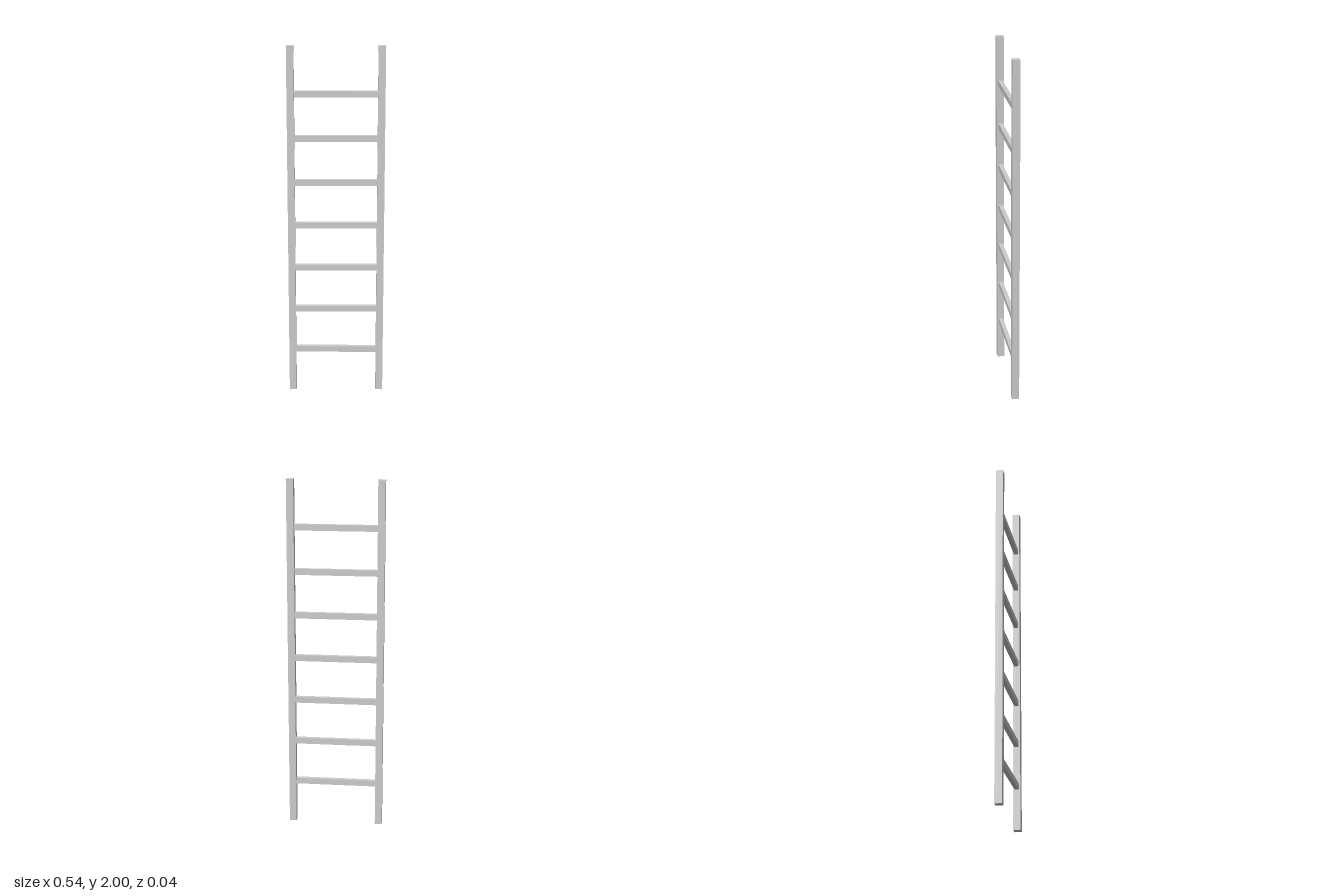
import * as THREE from 'three';

const RAIL_X = 0.25;
const RAIL_WIDTH = 0.04;
const RUNG_COUNT = 7;
const RUNG_STEP = 0.248;

export function createModel() {
  const ladder = new THREE.Group();
  ladder.name = 'ladder';
  const material = new THREE.MeshStandardMaterial({ color: 0xcccccc });

  const add = (name, geometry, x, y) => {
    const mesh = new THREE.Mesh(geometry, material);
    mesh.name = name;
    mesh.position.set(x, y, 0);
    ladder.add(mesh);
  };

  // Upright side rails
  const rail = new THREE.BoxGeometry(RAIL_WIDTH, 2, 0.041);
  add('leftRail', rail, RAIL_X, 1);
  add('rightRail', rail, -RAIL_X, 1);

  // Evenly spaced flat rungs between the rails
  const rung = new THREE.BoxGeometry(2 * RAIL_X - RAIL_WIDTH, 0.034, 0.024);
  for (let i = 1; i <= RUNG_COUNT; i++) add(`rung${i}`, rung, 0, i * RUNG_STEP);

  return ladder;
}
